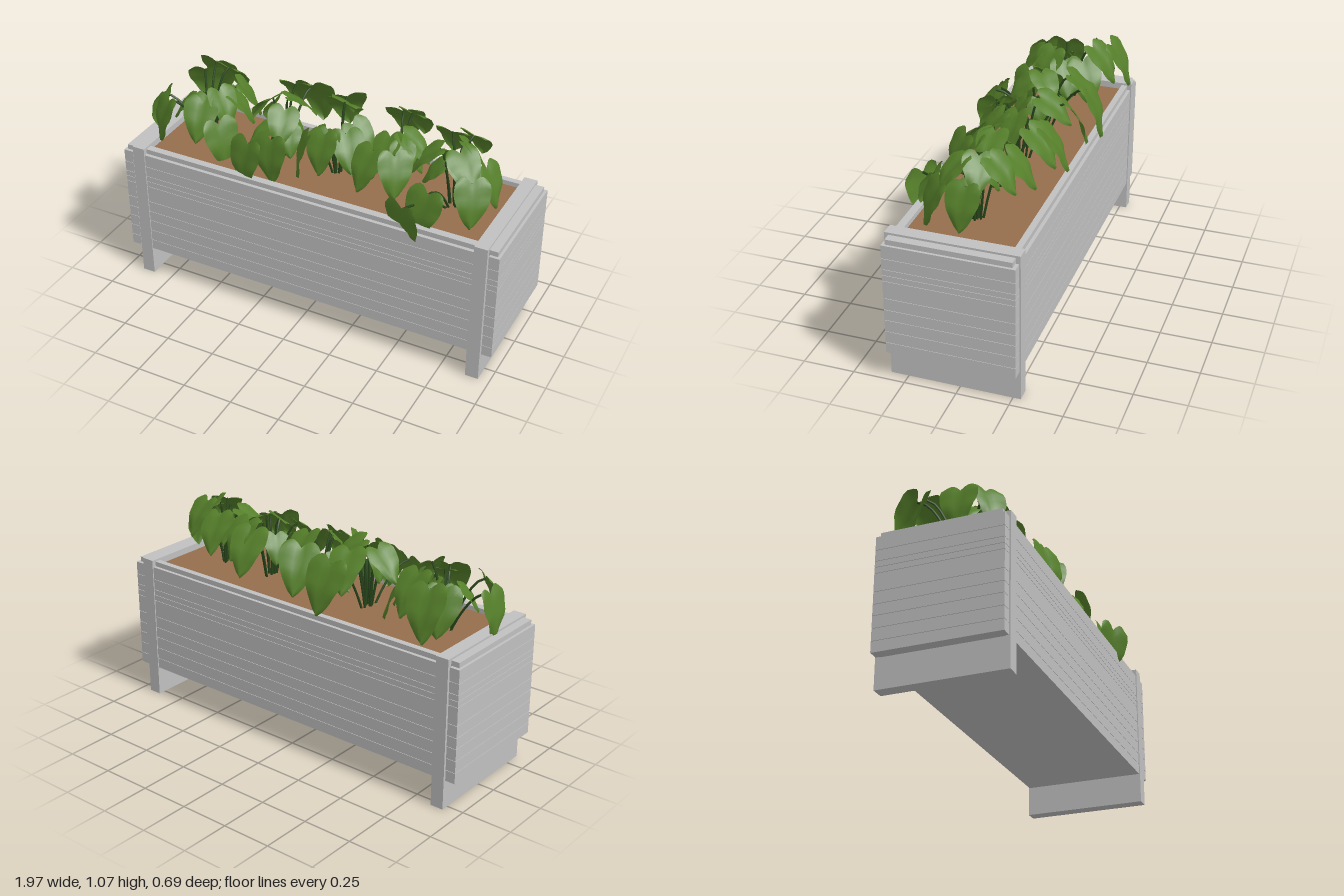
import * as THREE from 'three';

const mat = (name, color, side = THREE.FrontSide) => {
  const m = new THREE.MeshStandardMaterial({ color, side });
  m.name = name;
  return m;
};

// Heart-shaped leaf: base at the origin, tip along +z, folded along the midrib
function leafGeometry() {
  const g = new THREE.PlaneGeometry(2, 1, 8, 10);
  const p = g.attributes.position;
  for (let i = 0; i < p.count; i++) {
    const s = p.getX(i), t = 0.5 - p.getY(i);
    const belly = Math.max(0, Math.sin(Math.PI * Math.pow(0.12 + 0.88 * t, 0.62)));
    const w = Math.pow(belly, 0.75);
    const lobe = 0.16 * Math.sin(Math.abs(s) * Math.PI * 0.8) * Math.pow(1 - t, 2);
    const y = 0.14 * Math.abs(s) * w - 0.1 * s * s - 0.28 * t * t + 0.02 * Math.sin(t * 14) * Math.abs(s);
    p.setXYZ(i, s * w * 0.44, y, t - lobe);
  }
  g.computeVertexNormals();
  return g;
}

export function createModel() {
  const model = new THREE.Group();
  model.name = 'planter';
  const wood = mat('grey wood', 0xc0c0c0);
  const earth = mat('brown soil', 0x956d4c);
  const green = mat('leaf green', 0x557f2a, THREE.DoubleSide);
  const dark = mat('stem green', 0x27451a);

  // Box given by its extents
  const box = (name, x0, x1, y0, y1, z0, z1, m = wood, parent = model) => {
    const mesh = new THREE.Mesh(new THREE.BoxGeometry(x1 - x0, y1 - y0, z1 - z0), m);
    mesh.position.set((x0 + x1) / 2, (y0 + y1) / 2, (z0 + z1) / 2);
    mesh.name = name;
    parent.add(mesh);
  };

  // End frames that stand on the ground
  box('leftLegFrame', 0.88, 0.945, 0, 0.745, -0.287, 0.335);
  box('rightLegFrame', -0.915, -0.85, 0, 0.745, -0.287, 0.335);

  // Inner walls forming the raised rim
  box('frontRim', -0.85, 0.88, 0.15, 0.735, 0.275, 0.312);
  box('backRim', -0.85, 0.88, 0.15, 0.735, -0.265, -0.235);
  box('leftRim', 0.945, 0.987, 0.15, 0.735, -0.265, 0.315);
  box('rightRim', -0.957, -0.915, 0.15, 0.735, -0.265, 0.315);

  // Outer cladding boards
  const cladding = new THREE.Group();
  cladding.name = 'cladding';
  model.add(cladding);
  const seams = [0.15, 0.205, 0.265, 0.325, 0.38, 0.44, 0.53, 0.56, 0.59, 0.645, 0.71];
  for (let i = 0; i < seams.length - 1; i++) {
    const a = seams[i], b = seams[i + 1] - (i < seams.length - 2 ? 0.002 : 0);
    box('frontBoard', -0.85, 0.88, a, b, 0.31, 0.33, wood, cladding);
    box('backBoard', -0.85, 0.88, a, b, -0.282, -0.263, wood, cladding);
    box('leftBoard', 0.985, 1, a, b, -0.282, 0.33, wood, cladding);
    box('rightBoard', -0.97, -0.955, a, b, -0.282, 0.33, wood, cladding);
    for (const x of [0.95, -0.955]) {
      box('cornerBoard', x, x + 0.035, a, b, 0.312, 0.33, wood, cladding);
      box('cornerBoard', x, x + 0.035, a, b, -0.282, -0.263, wood, cladding);
    }
  }

  box('floor', -0.85, 0.88, 0.15, 0.18, -0.265, 0.312);
  box('soil', -0.85, 0.88, 0.68, 0.712, -0.236, 0.276, earth);

  // Seeded numbers for natural variation
  let seed = 7;
  const rnd = () => (seed = (seed * 16807) % 2147483647) / 2147483647;

  const leafGeo = leafGeometry();

  // One leaf with its arching stem; x, y, z is the middle of the leaf
  function addLeaf(plant, root, x, y, z, size, pitch) {
    const dx = x - root, dz = z - 0.02;
    const leaf = new THREE.Mesh(leafGeo, green);
    leaf.name = 'leaf';
    leaf.scale.setScalar(size);
    leaf.rotation.order = 'YXZ';
    leaf.rotation.set(pitch, Math.atan2(dx, dz) + (rnd() - 0.5) * 0.5, (rnd() - 0.5) * 0.6);
    const middle = new THREE.Vector3(0, -0.07, 0.48).multiplyScalar(size).applyEuler(leaf.rotation);
    leaf.position.set(x, y, z).sub(middle);
    plant.add(leaf);

    const end = leaf.position;
    const start = new THREE.Vector3(root + dx * 0.12, 0.705, 0.02 + dz * 0.15);
    const bend = start.clone().lerp(end, 0.5);
    bend.y = Math.max(end.y, 0.8);
    const stem = new THREE.Mesh(
      new THREE.TubeGeometry(new THREE.QuadraticBezierCurve3(start, bend, end), 8, 0.006, 5), dark);
    stem.name = 'stem';
    plant.add(stem);
  }

  // Each plant: its root x, then where its main leaves spread in x, z
  const plants = [
    [-0.68, [-0.79, -0.18], [-0.76, -0.26], [-0.63, -0.2], [-0.51, -0.14], [-0.5, -0.04],
      [-0.91, 0.08], [-0.82, 0.2], [-0.53, 0.08], [-0.61, 0.2], [-0.49, 0.18]],
    [-0.25, [-0.21, -0.28], [-0.28, -0.2], [-0.37, 0], [-0.17, -0.04],
      [-0.32, 0.28], [-0.19, 0.26], [-0.2, 0.12]],
    [0.05, [-0.03, -0.24], [0.03, -0.15], [0.18, 0.02], [-0.06, 0.2], [0.04, 0.19], [0.16, 0.13]],
    [0.36, [0.29, -0.24], [0.37, -0.2], [0.27, 0.2], [0.34, 0.12], [0.43, 0.2], [0.46, 0.03]],
    [0.65, [0.56, -0.17], [0.7, -0.13], [0.51, 0.07], [0.53, 0.31], [0.59, 0.27],
      [0.73, -0.02], [0.84, 0.02], [0.74, 0.11], [0.8, 0.18]],
  ];
  for (const [root, ...leaves] of plants) {
    const plant = new THREE.Group();
    plant.name = 'plant';
    model.add(plant);
    // Leaves hang lower, larger and steeper the further they reach
    for (const [x, z] of leaves) {
      const dx = x - root, dz = z - 0.02, reach = Math.hypot(dx, dz);
      const y = 1 - (dz > 0 ? 3 : 1.1) * dz * dz - 3.5 * dx * dx + (rnd() - 0.5) * 0.05;
      addLeaf(plant, root, x, y, z, 0.165 + 0.75 * reach * reach, 0.1 + (1.02 - y) * 3 + reach * 0.8 + rnd() * 0.3);
    }
    // Small young leaves near the middle
    for (let i = 0; i < 4; i++) {
      const a = i * 1.6 + rnd();
      addLeaf(plant, root, root + Math.sin(a) * 0.1, 0.83 + rnd() * 0.12, 0.05 + Math.cos(a) * 0.1, 0.14, 0.4 + rnd() * 0.6);
    }
  }
  return model;
}
